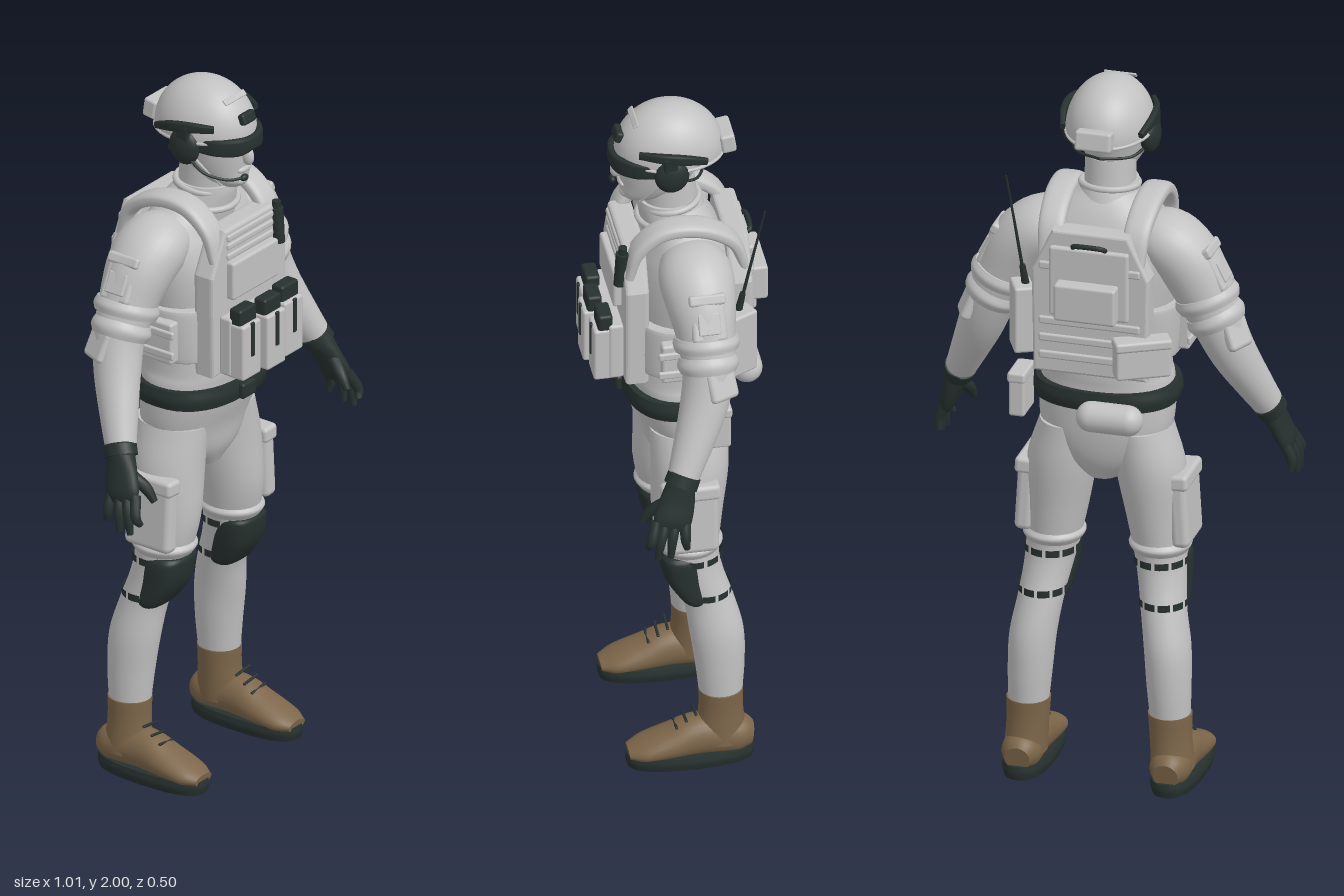
import * as THREE from 'three';
import { RoundedBoxGeometry } from 'three/addons/geometries/RoundedBoxGeometry.js';

const V = (p) => new THREE.Vector3(...p);
const material = (name, color, side = THREE.FrontSide) => {
  const m = new THREE.MeshStandardMaterial({ color, side });
  m.name = name;
  return m;
};

// Skin of elliptical cross-sections along a smooth path; each row is [x, y, z, radiusA, radiusB].
// radiusA runs along ref; a fixed axis keeps all sections parallel.
function sweep(rows, { ref = [1, 0, 0], axis = null, n = 28, steps = 5, power = 2 } = {}) {
  const path = new THREE.CatmullRomCurve3(rows.map((r) => V(r.slice(0, 3))), false, 'catmullrom');
  const size = new THREE.CatmullRomCurve3(rows.map((r) => V([r[3], r[4] ?? r[3], 0])), false, 'catmullrom');
  const m = (rows.length - 1) * steps;
  const pos = [], idx = [];
  const ring = (t) => {
    const c = path.getPoint(t), r = size.getPoint(t);
    const T = axis ? V(axis) : path.getTangent(t);
    const S = V(ref).addScaledVector(T, -V(ref).dot(T)).normalize();
    const U = T.clone().cross(S);
    for (let j = 0; j < n; j++) {
      const a = (j / n) * Math.PI * 2, e = 2 / power;
      const ca = Math.cos(a), sa = Math.sin(a);
      const p = c.clone()
        .addScaledVector(S, Math.sign(ca) * Math.abs(ca) ** e * r.x)
        .addScaledVector(U, Math.sign(sa) * Math.abs(sa) ** e * r.y);
      pos.push(p.x, p.y, p.z);
    }
    return c;
  };
  for (let i = 0; i <= m; i++) ring(i / m);
  for (let i = 0; i < m; i++) for (let j = 0; j < n; j++) {
    const k = (j + 1) % n, a = i * n + j, b = i * n + k;
    idx.push(a, b, a + n, b, b + n, a + n);
  }
  // End caps have their own vertices so their edges stay crisp
  for (const t of [0, 1]) {
    const base = pos.length / 3, c = ring(t);
    pos.push(c.x, c.y, c.z);
    for (let j = 0; j < n; j++) {
      const k = (j + 1) % n;
      idx.push(base + n, base + (t ? j : k), base + (t ? k : j));
    }
  }
  const g = new THREE.BufferGeometry();
  g.setAttribute('position', new THREE.Float32BufferAttribute(pos, 3));
  g.setIndex(idx);
  g.computeVertexNormals();
  return g;
}

export function createModel() {
  const model = new THREE.Group();
  model.name = 'soldier';
  const cloth = material('light grey cloth', 0xc2c2c2);
  const shell = material('light grey shell', 0xc2c2c2, THREE.DoubleSide);
  const dark = material('dark gear', 0x27312f);
  const strap = material('dark strap', 0x27312f, THREE.DoubleSide);
  const brown = material('brown leather', 0x7d664a);

  const add = (name, geo, mat, p = [0, 0, 0], rot = [0, 0, 0], sc = [1, 1, 1]) => {
    const mesh = new THREE.Mesh(geo, mat);
    mesh.name = name;
    mesh.position.set(...p);
    mesh.rotation.set(...rot);
    mesh.scale.set(...sc);
    model.add(mesh);
    return mesh;
  };
  const box = (name, size, mat, p, rot, r = 0.008) =>
    add(name, new RoundedBoxGeometry(...size, 2, Math.min(r, Math.min(...size) * 0.45)), mat, p, rot);
  const ball = (name, size, mat, p, rot) => add(name, new THREE.SphereGeometry(1, 28, 18), mat, p, rot, size);
  const loft = (name, rows, mat, power = 2, n = 36) =>
    add(name, sweep(rows.map(([y, z, a, b]) => [0, y, z, a, b]), { axis: [0, 1, 0], power, n }), mat);
  const upright = { ref: [0, 1, 0], power: 4, n: 16 };

  // Body
  loft('torso', [[0.87, -0.02, 0.05, 0.07], [0.93, -0.02, 0.13, 0.1], [1.0, -0.02, 0.175, 0.115], [1.08, -0.01, 0.185, 0.13],
    [1.15, -0.005, 0.18, 0.135], [1.19, -0.005, 0.172, 0.138], [1.3, -0.01, 0.175, 0.135], [1.45, -0.015, 0.2, 0.14],
    [1.54, -0.02, 0.21, 0.125], [1.6, -0.02, 0.185, 0.1], [1.65, -0.015, 0.125, 0.08], [1.69, 0, 0.07, 0.065]], cloth, 2.2);
  loft('neck', [[1.6, -0.005, 0.08, 0.08], [1.68, 0.01, 0.07, 0.075], [1.78, 0.02, 0.068, 0.075]], cloth);
  loft('collar', [[1.6, -0.01, 0.1, 0.095], [1.64, 0, 0.095, 0.092], [1.68, 0.01, 0.082, 0.088], [1.705, 0.015, 0.076, 0.082]], cloth);
  for (const [y, r] of [[1.65, 0.088], [1.695, 0.077]])
    add('collarFold', new THREE.TorusGeometry(r, 0.009, 8, 32), cloth, [0, y, 0.01], [Math.PI / 2 + 0.1, 0, 0]);

  // Head and face
  loft('head', [[1.712, 0.1, 0.028, 0.03], [1.73, 0.078, 0.053, 0.066], [1.765, 0.052, 0.074, 0.094], [1.81, 0.043, 0.086, 0.107],
    [1.86, 0.035, 0.095, 0.116], [1.92, 0.02, 0.092, 0.115], [1.96, 0.01, 0.06, 0.08]], cloth);
  ball('nose', [0.015, 0.03, 0.02], cloth, [0, 1.81, 0.152], [-0.25, 0, 0]);
  ball('lips', [0.027, 0.01, 0.01], cloth, [0, 1.766, 0.143]);
  ball('chin', [0.027, 0.018, 0.02], cloth, [0, 1.733, 0.128]);

  // Helmet and headset
  add('helmet', new THREE.SphereGeometry(1, 40, 20, 0, Math.PI * 2, 0, Math.PI * 0.52), shell, [0, 1.86, 0.014], [-0.05, 0, 0], [0.117, 0.14, 0.147]);
  add('helmetRim', new THREE.TorusGeometry(1, 0.04, 8, 48), cloth, [0, 1.856, 0.014], [Math.PI / 2 - 0.05, 0, 0], [0.116, 0.146, 0.12]);
  box('helmetShroud', [0.055, 0.032, 0.022], dark, [0, 1.92, 0.152], [-0.35, 0, 0]);
  box('helmetTopStrip', [0.09, 0.006, 0.018], cloth, [0, 1.966, 0.11], [0.75, 0, 0]);
  box('helmetRearPouch', [0.1, 0.055, 0.04], cloth, [0, 1.877, -0.14], [0.15, 0, 0]);
  add('goggles', sweep([[-0.1, 1.85, 0.06, 0.02, 0.008], [-0.085, 1.85, 0.115, 0.023, 0.009], [-0.045, 1.85, 0.158, 0.025, 0.01],
    [0, 1.852, 0.168, 0.02, 0.01], [0.045, 1.85, 0.158, 0.025, 0.01], [0.085, 1.85, 0.115, 0.023, 0.009], [0.1, 1.85, 0.06, 0.02, 0.008]], upright), dark);
  for (const s of [-1, 1]) {
    add('helmetRail', sweep([[s * 0.092, 1.905, 0.11, 0.01, 0.007], [s * 0.118, 1.905, 0.05, 0.014, 0.009],
      [s * 0.122, 1.895, -0.01, 0.014, 0.009], [s * 0.108, 1.875, -0.07, 0.009, 0.007]], upright), dark);
    box('helmetRailClamp', [0.018, 0.05, 0.04], dark, [s * 0.121, 1.885, 0.03]);
    ball('earCup', [0.027, 0.052, 0.047], dark, [s * 0.108, 1.84, 0.025]);
    add('chinStrap', sweep([[s * 0.1, 1.84, 0.02, 0.005], [s * 0.086, 1.79, 0.055, 0.004], [s * 0.045, 1.722, 0.1, 0.004]], { n: 8 }), cloth);
    add('napeStrap', sweep([[s * 0.105, 1.815, 0.01, 0.004], [s * 0.075, 1.8, -0.05, 0.004], [0, 1.8, -0.085, 0.004]], { n: 8, ref: [0, 1, 0] }), dark);
  }
  add('microphoneBoom', sweep([[-0.118, 1.82, 0.04, 0.004], [-0.11, 1.78, 0.09, 0.004], [-0.075, 1.76, 0.14, 0.004], [-0.03, 1.755, 0.162, 0.004]], { n: 8, ref: [0, 1, 0] }), dark);
  ball('microphone', [0.014, 0.01, 0.009], dark, [-0.025, 1.755, 0.162]);

  // Arms and gloves
  for (const s of [-1, 1]) {
    const side = (rows) => rows.map(([x, ...r]) => [s * x, ...r]);
    const arm = (name, rows, mat, opt) => add(name, sweep(side(rows), { ref: [0, 0, 1], ...opt }), mat);
    arm('arm', [[0.11, 1.575, -0.02, 0.08, 0.065], [0.175, 1.56, -0.025, 0.1, 0.085], [0.23, 1.51, -0.03, 0.095, 0.088], [0.275, 1.43, -0.035, 0.08, 0.08],
      [0.315, 1.34, -0.035, 0.07, 0.07], [0.35, 1.25, -0.015, 0.064, 0.062], [0.395, 1.15, 0.025, 0.052, 0.05], [0.432, 1.07, 0.06, 0.041, 0.04]], cloth);
    arm('sleeveBand', [[0.276, 1.43, -0.035, 0.084, 0.084], [0.283, 1.412, -0.035, 0.09, 0.09], [0.29, 1.394, -0.035, 0.084, 0.084]], cloth);
    arm('sleeveBand', [[0.297, 1.378, -0.035, 0.076, 0.076], [0.307, 1.358, -0.035, 0.083, 0.082], [0.316, 1.338, -0.035, 0.074, 0.074]], cloth);
    box('elbowPad', [0.03, 0.09, 0.085], cloth, [s * 0.37, 1.33, -0.06], [0, s * 0.4, s * 0.4], 0.013);
    box('sleevePocket', [0.03, 0.13, 0.095], cloth, [s * 0.307, 1.505, -0.035], [0, 0, s * 0.47], 0.012);
    box('sleevePocketFlap', [0.036, 0.03, 0.1], cloth, [s * 0.288, 1.553, -0.035], [0, 0, s * 0.47]);
    box('sleevePatch', [0.01, 0.06, 0.06], cloth, [s * 0.328, 1.5, -0.035], [0, 0, s * 0.47]);
    arm('gloveCuff', [[0.424, 1.088, 0.05, 0.045, 0.044], [0.436, 1.06, 0.064, 0.046, 0.042]], dark);
    arm('palm', [[0.434, 1.065, 0.062, 0.038, 0.036], [0.45, 1.02, 0.075, 0.048, 0.028], [0.466, 0.975, 0.09, 0.052, 0.024], [0.472, 0.95, 0.098, 0.045, 0.016]], dark);
    const tips = [[0.478, 0.9, 0.16], [0.49, 0.87, 0.135], [0.492, 0.872, 0.1], [0.487, 0.89, 0.055]];
    tips.forEach((t, i) => {
      const z = 0.134 - i * 0.026;
      arm('finger', [[0.466, 0.975, z, 0.015], [0.488, 0.925, (z + t[2]) / 2 + 0.004, 0.014], [...t, 0.009]], dark, { n: 12 });
    });
    arm('thumb', [[0.445, 1.02, 0.1, 0.018], [0.428, 0.985, 0.14, 0.016], [0.423, 0.95, 0.165, 0.01]], dark, { n: 12 });

    // Legs
    const vertical = { axis: [0, -1, 0] };
    const leg = (name, rows, mat, opt) => add(name, sweep(side(rows), { ...vertical, ...opt }), mat);
    leg('leg', [[0.1, 1.02, -0.02, 0.08, 0.105], [0.122, 0.9, -0.02, 0.094, 0.104], [0.137, 0.76, -0.01, 0.083, 0.095], [0.149, 0.65, -0.015, 0.072, 0.078],
      [0.158, 0.58, -0.03, 0.066, 0.073], [0.17, 0.5, -0.06, 0.062, 0.068], [0.186, 0.4, -0.08, 0.063, 0.073], [0.192, 0.3, -0.088, 0.06, 0.067], [0.196, 0.2, -0.09, 0.054, 0.058]], cloth);
    leg('thighBand', [[0.146, 0.69, -0.012, 0.076, 0.084], [0.147, 0.675, -0.012, 0.085, 0.092], [0.148, 0.655, -0.012, 0.074, 0.08]], cloth);
    leg('kneePad', [[0.151, 0.652, 0.012, 0.064, 0.052], [0.154, 0.635, 0.013, 0.072, 0.056], [0.157, 0.575, 0.002, 0.071, 0.056],
      [0.163, 0.515, -0.022, 0.066, 0.042], [0.165, 0.5, -0.028, 0.058, 0.032]], dark, { power: 2.8 });
    for (const [x, y, z, rx, rz] of [[0.151, 0.635, -0.02, 0.074, 0.082], [0.167, 0.525, -0.052, 0.066, 0.072]])
      for (let i = 0; i < 6; i++)
        add('kneeStrap', new THREE.CylinderGeometry(1, 1, 0.02, 6, 1, true, Math.PI * (0.42 + i * 0.2), 0.5), strap, [s * x, y, z], [0, 0, 0], [rx, 1, rz]);
    box('thighPocket', [0.05, 0.2, 0.15], cloth, [s * 0.213, 0.785, -0.005], [0, 0, s * 0.06], 0.018);
    box('thighPocketFlap', [0.055, 0.045, 0.158], cloth, [s * 0.212, 0.875, -0.005], [0, 0, s * 0.06], 0.012);

    // Boots
    leg('bootShaft', [[0.196, 0.215, -0.09, 0.06, 0.06], [0.198, 0.15, -0.09, 0.057, 0.06], [0.204, 0.06, -0.09, 0.058, 0.07]], brown);
    add('bootFoot', sweep(side([[0.205, 0.06, -0.17, 0.035, 0.035], [0.205, 0.068, -0.13, 0.054, 0.055], [0.205, 0.075, -0.03, 0.055, 0.06],
      [0.205, 0.06, 0.05, 0.06, 0.045], [0.205, 0.046, 0.12, 0.057, 0.03], [0.205, 0.04, 0.162, 0.035, 0.016]])), brown);
    leg('sole', [[0.205, 0.038, -0.005, 0.064, 0.172], [0.205, 0.02, -0.005, 0.067, 0.174], [0.205, 0, -0.005, 0.062, 0.17]], dark, { power: 2.5 });
    for (let i = 0; i < 3; i++)
      box('lace', [0.062, 0.007, 0.008], dark, [s * 0.203, 0.112 + i * 0.019, 0.035 - i * 0.026], [0, 0, s * 0.12]);
  }

  // Belt
  loft('belt', [[1.092, -0.005, 0.195, 0.148], [1.118, -0.005, 0.2, 0.153], [1.145, -0.005, 0.193, 0.149]], dark, 2.4);
  box('beltBuckle', [0.06, 0.045, 0.02], dark, [0, 1.118, 0.153]);
  box('beltPouch', [0.045, 0.12, 0.1], cloth, [0.225, 1.09, -0.06]);
  box('beltPouchFlap', [0.05, 0.03, 0.106], cloth, [0.226, 1.142, -0.06]);
  add('beltRoll', new THREE.CapsuleGeometry(0.042, 0.1, 8, 20), cloth, [-0.06, 1.1, -0.2], [0, 0, Math.PI / 2]);

  // Vest plates
  const outline = new THREE.Shape([[-0.15, 1.215], [0.15, 1.215], [0.155, 1.5], [0.1, 1.615], [-0.1, 1.615], [-0.155, 1.5]].map((p) => new THREE.Vector2(...p)));
  const plate = new THREE.ExtrudeGeometry(outline, { depth: 0.04, bevelSize: 0.008, bevelThickness: 0.012, bevelSegments: 3 });
  add('frontPlate', plate, cloth, [0, 0, 0.108]);
  add('backPlate', plate, cloth, [0, 0, -0.172]);
  loft('cummerbund', [[1.24, -0.005, 0.195, 0.14], [1.25, -0.005, 0.203, 0.145], [1.38, -0.01, 0.21, 0.148], [1.39, -0.01, 0.2, 0.14]], cloth, 2.8);
  for (const s of [-1, 1]) {
    add('shoulderStrap', sweep([[s * 0.115, 1.54, 0.145, 0.034, 0.014], [s * 0.12, 1.62, 0.12, 0.036, 0.018], [s * 0.122, 1.675, 0.05, 0.038, 0.02],
      [s * 0.122, 1.672, -0.05, 0.038, 0.02], [s * 0.118, 1.62, -0.135, 0.036, 0.018], [s * 0.112, 1.53, -0.17, 0.034, 0.014]], { power: 3 }), cloth);
    box('sidePouch', [0.035, 0.12, 0.11], cloth, [s * 0.215, 1.31, 0.02]);
    for (const y of [1.28, 1.34]) box('sideWebbing', [0.012, 0.022, 0.13], cloth, [s * 0.234, y, 0.02]);
  }
  for (const y of [1.545, 1.575, 1.6]) box('chestWebbing', [0.2, 0.018, 0.012], cloth, [0, y, 0.16]);
  for (const y of [1.26, 1.31, 1.36, 1.52]) box('backWebbing', [0.28, 0.022, 0.012], cloth, [0, y, -0.186]);

  // Chest equipment
  box('chestPouch', [0.2, 0.11, 0.03], cloth, [0, 1.477, 0.168]);
  box('magazinePanel', [0.27, 0.17, 0.04], cloth, [0, 1.3, 0.18]);
  for (const x of [-0.092, 0, 0.092]) {
    const z = x ? 0.213 : 0.225;
    box('magazinePouch', [0.08, 0.16, 0.055], cloth, [x, 1.292, z]);
    box('magazine', [0.072, 0.06, 0.04], dark, [x, 1.385, z - 0.005]);
    box('magazineTab', [0.014, 0.1, 0.008], dark, [x, 1.325, z + 0.028]);
  }
  add('chestRadio', new THREE.CylinderGeometry(0.018, 0.016, 0.1, 16), dark, [0.118, 1.56, 0.165], [-0.08, 0, 0]);
  add('chestRadioKnob', new THREE.CylinderGeometry(0.012, 0.012, 0.03, 12), dark, [0.118, 1.615, 0.16]);

  // Back equipment
  box('backPanel', [0.22, 0.2, 0.02], cloth, [0, 1.48, -0.188]);
  box('backPouch', [0.17, 0.105, 0.045], cloth, [0, 1.437, -0.218]);
  add('dragHandle', sweep([[-0.045, 1.575, -0.182, 0.007], [-0.035, 1.59, -0.2, 0.007], [0.035, 1.59, -0.2, 0.007], [0.045, 1.575, -0.182, 0.007]], { n: 10, ref: [0, 1, 0] }), dark);
  box('utilityPouch', [0.15, 0.1, 0.055], cloth, [-0.145, 1.28, -0.185], [0, 0.5, 0]);
  box('utilityPouchFlap', [0.155, 0.028, 0.06], cloth, [-0.146, 1.325, -0.187], [0, 0.5, 0]);
  box('radio', [0.055, 0.19, 0.085], cloth, [0.2, 1.345, -0.14], [0, 0.45, 0]);
  add('antennaBase', new THREE.CylinderGeometry(0.008, 0.011, 0.06, 10), dark, [0.193, 1.465, -0.145], [-0.18, 0, -0.1]);
  add('antenna', sweep([[0.193, 1.46, -0.145, 0.005], [0.209, 1.62, -0.175, 0.004], [0.225, 1.775, -0.205, 0.0025]], { n: 8 }), dark);
  return model;
}
